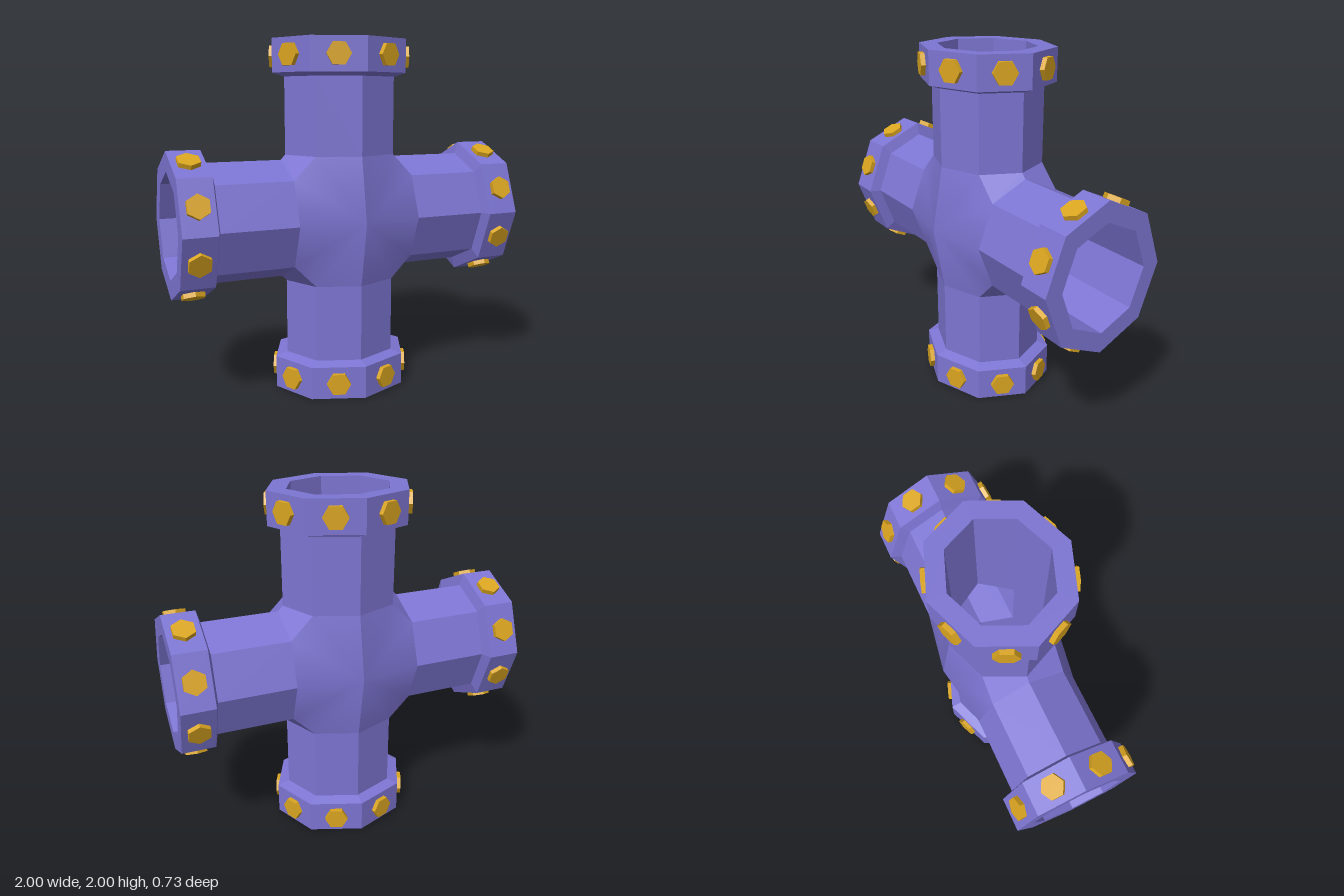
import * as THREE from 'three';

const DEPTH = 0.9;             // pipes are slightly flattened front to back
const PIPE = 0.335, COLLAR = 0.405, BORE = 0.295;
const JOINT = 0.363;           // distance from centre where the straight pipes begin
const D = Math.SQRT1_2;

const body = new THREE.MeshStandardMaterial({ color: 0x7d75d3 });
const brass = new THREE.MeshStandardMaterial({ color: 0xdaa520 });

function add(parent, geometry, material, name) {
  const mesh = new THREE.Mesh(geometry, material);
  mesh.name = name;
  parent.add(mesh);
  return mesh;
}

function flat(geometry) {
  const g = geometry.toNonIndexed();
  g.computeVertexNormals();
  return g;
}

function faces(points, index) {
  const g = new THREE.BufferGeometry();
  g.setAttribute('position', new THREE.Float32BufferAttribute(points.flat(), 3));
  g.setIndex(index);
  return g;
}

// Octagonal pipe with flanged end; the bore is mitred at the crossing
function armGeometry() {
  const profile = [
    [PIPE, JOINT], [PIPE, 0.795], [COLLAR, 0.815], [COLLAR, 1], [BORE, 1], [BORE, 0],
  ].map(([r, y]) => new THREE.Vector2(r, y));
  const g = new THREE.LatheGeometry(profile, 8);
  g.scale(1, 1, DEPTH);
  const p = g.attributes.position;
  for (let i = 0; i < p.count; i++) {
    if (p.getY(i) < 0.1) p.setY(i, Math.abs(p.getX(i)));
  }
  return flat(g);
}

// Hexagonal head lying on +z, corners pointing along x
function boltGeometry() {
  const g = new THREE.CylinderGeometry(0.067, 0.067, 0.04, 6);
  g.rotateY(Math.PI / 2);
  g.rotateX(Math.PI / 2);
  g.rotateY(0);
  // turn a corner onto the x axis
  const p = g.attributes.position;
  let maxX = 0;
  for (let i = 0; i < p.count; i++) maxX = Math.max(maxX, p.getX(i));
  if (maxX < 0.066) g.rotateZ(Math.PI / 6);
  g.translate(0, 0, 0.006);
  return flat(g);
}

export function createModel() {
  const model = new THREE.Group();
  model.name = 'pipeCross';
  const cross = new THREE.Group();
  cross.name = 'crossFitting';
  cross.position.y = 1;
  model.add(cross);

  // Four equal arms, each with a ring of eight bolts
  const armGeo = armGeometry();
  const boltGeo = boltGeometry();
  ['topArm', 'leftArm', 'bottomArm', 'rightArm'].forEach((name, k) => {
    const arm = new THREE.Group();
    arm.name = name;
    arm.rotation.z = -k * Math.PI / 2;
    cross.add(arm);
    add(arm, armGeo, body, 'flangedPipe');
    for (let i = 0; i < 8; i++) {
      const a = (i + 0.5) * Math.PI / 4;
      const r = COLLAR * Math.cos(Math.PI / 8);
      const bolt = add(arm, boltGeo, brass, 'bolt');
      bolt.position.set(r * Math.sin(a), 0.908, r * Math.cos(a) * DEPTH);
      bolt.rotation.y = Math.atan2(Math.sin(a) * DEPTH, Math.cos(a));
    }
  });

  const e = PIPE * D, ez = e * DEPTH, fz = PIPE * DEPTH, b = BORE * D;

  // Bulged hub face, one side of its vertical ridge, smooth shaded
  const hubGeo = faces([
    [0, 0, 0.365], [0, -JOINT, fz], [e, -JOINT, ez], [JOINT, -e, ez],
    [JOINT, 0, fz], [JOINT, e, ez], [e, JOINT, ez], [0, JOINT, fz],
  ], [1, 2, 3, 4, 5, 6].flatMap((i) => [0, i, i + 1]));
  hubGeo.computeVertexNormals();

  // Bevels in the two inside corners between neighbouring arms
  const bevelGeo = flat(faces([
    [PIPE, JOINT, 0], [e, JOINT, ez], [JOINT, e, ez], [JOINT, PIPE, 0],
    [PIPE, -JOINT, 0], [e, -JOINT, ez], [JOINT, -e, ez], [JOINT, -PIPE, 0],
  ], [0, 1, 2, 0, 2, 3, 4, 6, 5, 4, 7, 6]));

  // Web that keeps the vertical bore unbroken at front and back
  const webGeo = flat(faces([
    [0, 0, BORE * DEPTH], [b, b, b * DEPTH], [b, -b, b * DEPTH],
  ], [0, 1, 2]));

  // Half turns repeat the quarter on all sides of the hub
  const turns = [[0, 0, 0], [Math.PI, 0, 0], [0, Math.PI, 0], [0, 0, Math.PI]];
  for (const turn of turns) {
    const quarter = new THREE.Group();
    quarter.name = 'hubQuarter';
    quarter.rotation.set(...turn);
    cross.add(quarter);
    add(quarter, hubGeo, body, 'hubFace');
    add(quarter, bevelGeo, body, 'cornerBevel');
    add(quarter, webGeo, body, 'boreWeb');
  }
  return model;
}
